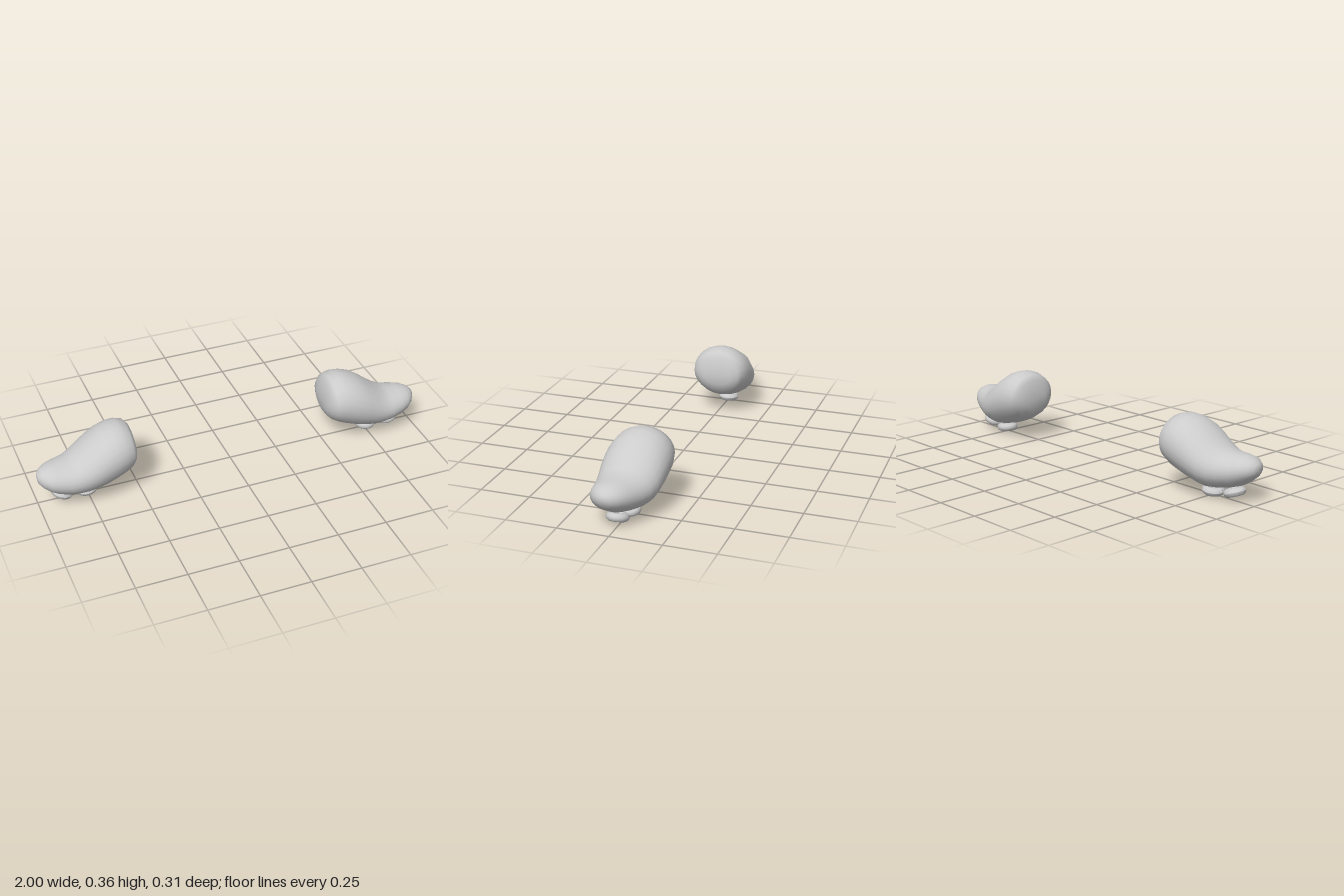
import * as THREE from 'three';
import { mergeVertices } from 'three/addons/utils/BufferGeometryUtils.js';

const material = new THREE.MeshStandardMaterial({ color: 0xcccccc });

// Cross-sections along the limb: x, bottom y, top y, back z, front z
const SECTIONS = [
  [0.503, 0.22, 0.22, -0.01, -0.01],
  [0.506, 0.175, 0.265, -0.085, 0.06],
  [0.518, 0.145, 0.322, -0.125, 0.10],
  [0.538, 0.12, 0.348, -0.145, 0.125],
  [0.58, 0.095, 0.361, -0.155, 0.138],
  [0.62, 0.08, 0.357, -0.158, 0.146],
  [0.67, 0.063, 0.341, -0.157, 0.151],
  [0.72, 0.051, 0.309, -0.152, 0.149],
  [0.765, 0.045, 0.274, -0.144, 0.143],
  [0.81, 0.049, 0.243, -0.127, 0.137],
  [0.85, 0.057, 0.228, -0.108, 0.132],
  [0.905, 0.073, 0.226, -0.083, 0.122],
  [0.945, 0.096, 0.22, -0.062, 0.109],
  [0.975, 0.12, 0.207, -0.036, 0.083],
  [0.993, 0.142, 0.192, -0.006, 0.055],
  [0.998, 0.168, 0.168, 0.022, 0.022],
];

// Smooth closed skin through the elliptical sections
function limbGeometry() {
  const n = 24, positions = [], index = [];
  SECTIONS.forEach(([x, y0, y1, z0, z1], i) => {
    for (let j = 0; j < n; j++) {
      const a = (j / n) * Math.PI * 2;
      positions.push(
        x,
        (y0 + y1) / 2 + (Math.cos(a) * (y1 - y0)) / 2,
        (z0 + z1) / 2 + (Math.sin(a) * (z1 - z0)) / 2
      );
      if (i === SECTIONS.length - 1) continue;
      const p = i * n + j, q = i * n + ((j + 1) % n);
      if (i > 0) index.push(p, q, p + n);
      if (i < SECTIONS.length - 2) index.push(q, q + n, p + n);
      else if (i === 0) index.push(q, q + n, p + n);
    }
  });
  const g = new THREE.BufferGeometry();
  g.setAttribute('position', new THREE.Float32BufferAttribute(positions, 3));
  g.setIndex(index);
  const merged = mergeVertices(g, 1e-5);
  merged.computeVertexNormals();
  return merged;
}

// Ring-shaped sucker, tilted about z
function suckerGeometry(x, y, z, tilt) {
  return new THREE.TorusGeometry(0.034, 0.02, 10, 20)
    .rotateX(Math.PI / 2)
    .rotateZ(tilt)
    .translate(x, y, z);
}

// Mirror across x = 0, turning the faces back outward
function mirrored(geometry) {
  const g = geometry.clone().scale(-1, 1, 1);
  const idx = g.index;
  for (let i = 0; i < idx.count; i += 3) {
    const t = idx.getX(i);
    idx.setX(i, idx.getX(i + 2));
    idx.setX(i + 2, t);
  }
  g.computeVertexNormals();
  return g;
}

export function createModel() {
  const model = new THREE.Group();
  model.name = 'limbPair';

  const parts = {
    Limb: limbGeometry(),
    InnerSucker: suckerGeometry(0.755, 0.024, -0.003, -0.08),
    OuterSucker: suckerGeometry(0.877, 0.041, 0.006, 0.32),
  };

  for (const side of ['left', 'right']) {
    const group = new THREE.Group();
    group.name = side + 'Arm';
    for (const [name, geometry] of Object.entries(parts)) {
      const mesh = new THREE.Mesh(side === 'left' ? geometry : mirrored(geometry), material);
      mesh.name = side + name;
      group.add(mesh);
    }
    model.add(group);
  }
  return model;
}
